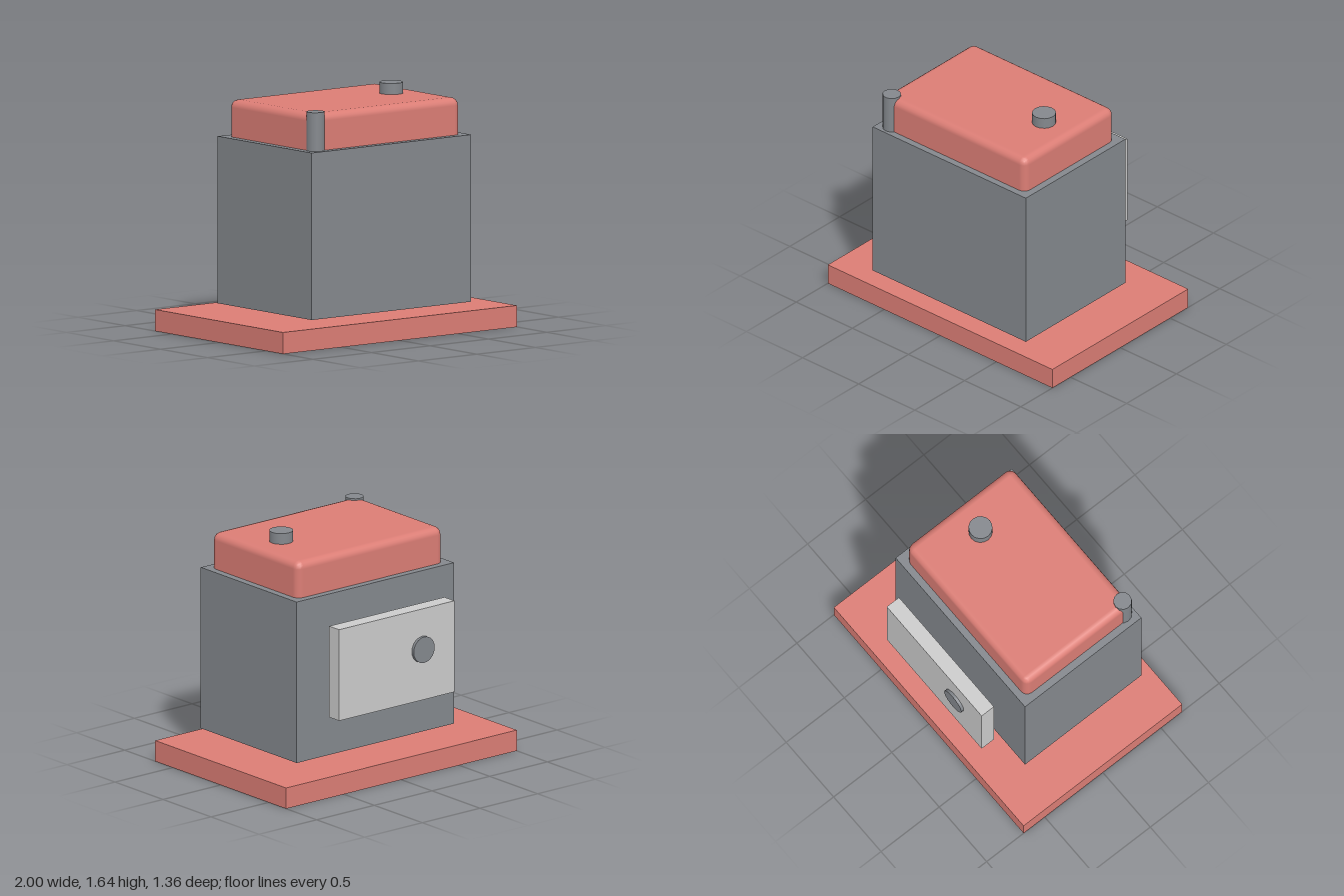
import * as THREE from 'three';
import { RoundedBoxGeometry } from 'three/addons/geometries/RoundedBoxGeometry.js';

export function createModel() {
  const group = new THREE.Group();
  const red = new THREE.MeshStandardMaterial({ color: 0xdb7d75 });
  const darkGrey = new THREE.MeshStandardMaterial({ color: 0x84888d });
  const grey = new THREE.MeshStandardMaterial({ color: 0xcccccc });

  function add(name, geometry, material, x, y, z) {
    const mesh = new THREE.Mesh(geometry, material);
    mesh.name = name;
    mesh.position.set(x, y, z);
    group.add(mesh);
    return mesh;
  }

  // Floor slab and the main housing floating just above it
  add('baseSlab', new THREE.BoxGeometry(2, 0.145, 1.364), red, 0, 0.0725, 0);
  add('housing', new THREE.BoxGeometry(1.364, 1.125, 1), darkGrey, 0, 0.7515, 0.09);

  // Rounded lid, its lower edge sunk into the housing
  add('lid', new RoundedBoxGeometry(1.264, 0.364, 0.905, 2, 0.052), red, 0, 1.382, 0.091);

  // Knob on the lid and the post at the front corner
  add('lidKnob', new THREE.CylinderGeometry(0.08, 0.08, 0.09, 16), darkGrey, 0.4, 1.594, 0.09);
  add('cornerPost', new THREE.CylinderGeometry(0.062, 0.062, 0.265, 12), darkGrey, -0.584, 1.443, 0.509);

  // Door panel behind the housing, with a flat round handle
  add('rearDoor', new THREE.BoxGeometry(1, 0.637, 0.105), grey, 0, 0.82, -0.582);
  const handle = add('doorHandle', new THREE.CylinderGeometry(0.091, 0.091, 0.036, 20), darkGrey, -0.22, 0.857, -0.637);
  handle.rotation.x = Math.PI / 2;

  return group;
}
